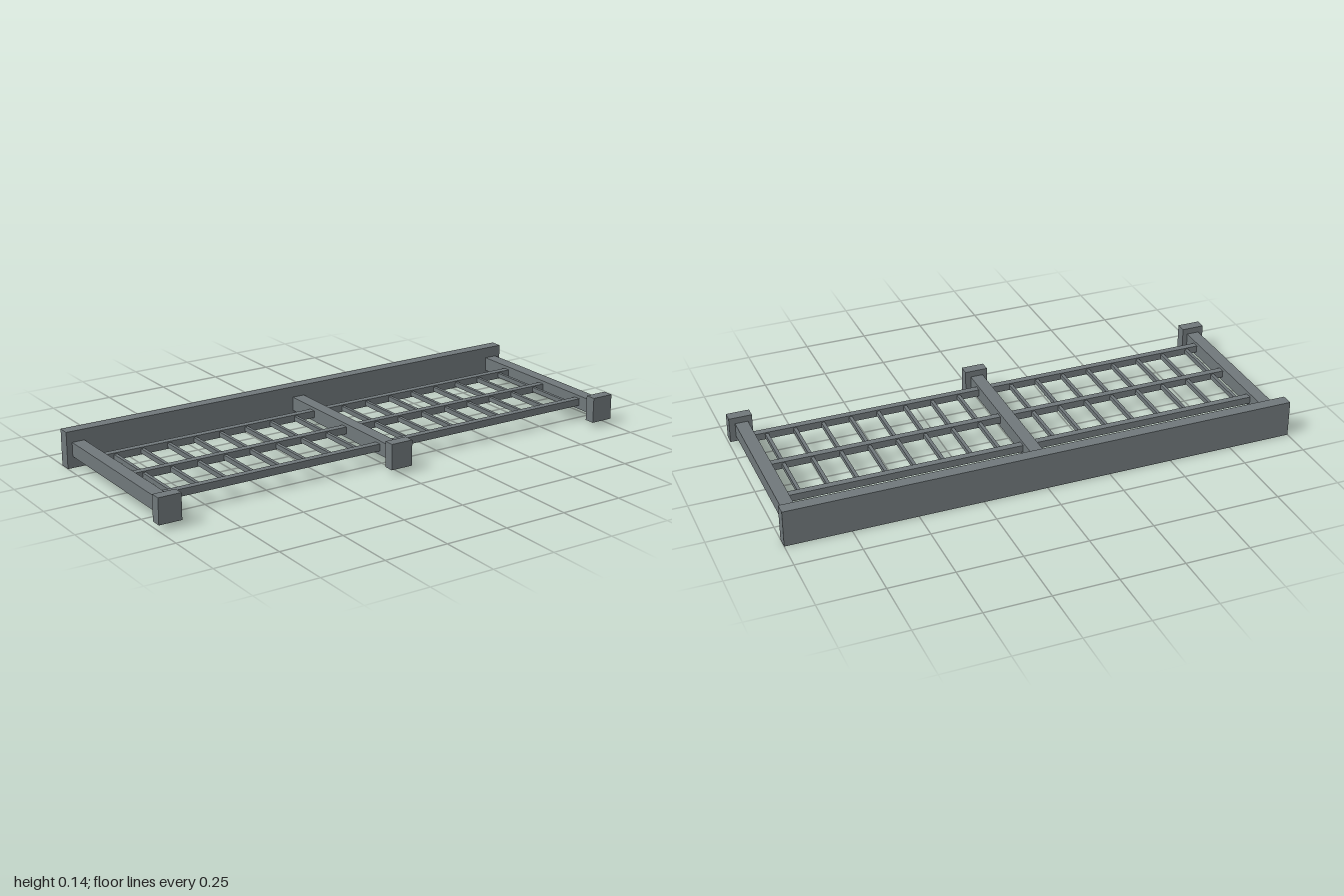
import * as THREE from 'three';

export function createModel() {
  const model = new THREE.Group();
  model.name = 'slattedShelfFrame';
  const steel = new THREE.MeshStandardMaterial({ color: 0x70787b });
  steel.name = 'grey steel';

  // Box given by its extents along each axis
  function bar(name, [x0, x1], [y0, y1], [z0, z1]) {
    const mesh = new THREE.Mesh(new THREE.BoxGeometry(x1 - x0, y1 - y0, z1 - z0), steel);
    mesh.name = name;
    mesh.position.set((x0 + x1) / 2, (y0 + y1) / 2, (z0 + z1) / 2);
    model.add(mesh);
  }
  const around = (c, w) => [c - w / 2, c + w / 2];

  // Long back beam
  bar('backBeam', [-1, 1], [0, 0.143], [-0.38, -0.333]);

  // Three arms, each with an end block at the front
  for (const side of [-1, 0, 1]) {
    bar('arm', around(side * 0.953, 0.05), [0.045, 0.1], [-0.333, 0.334]);
    bar('endBlock', around(side * 0.955, 0.09), [0.022, 0.122], [0.338, 0.38]);
  }

  // Three lengthwise rails
  for (const z of [-0.19, 0.035, 0.26]) {
    bar('rail', [-0.93, 0.93], [0.06, 0.088], around(z, 0.027));
  }

  // Thin cross slats, eight in each bay, between neighbouring rails
  for (const side of [-1, 1]) {
    for (let i = 1; i <= 8; i++) {
      for (const span of [[-0.177, 0.022], [0.048, 0.247]]) {
        bar('slat', around(side * i * 0.11, 0.013), [0.065, 0.083], span);
      }
    }
  }
  return model;
}
